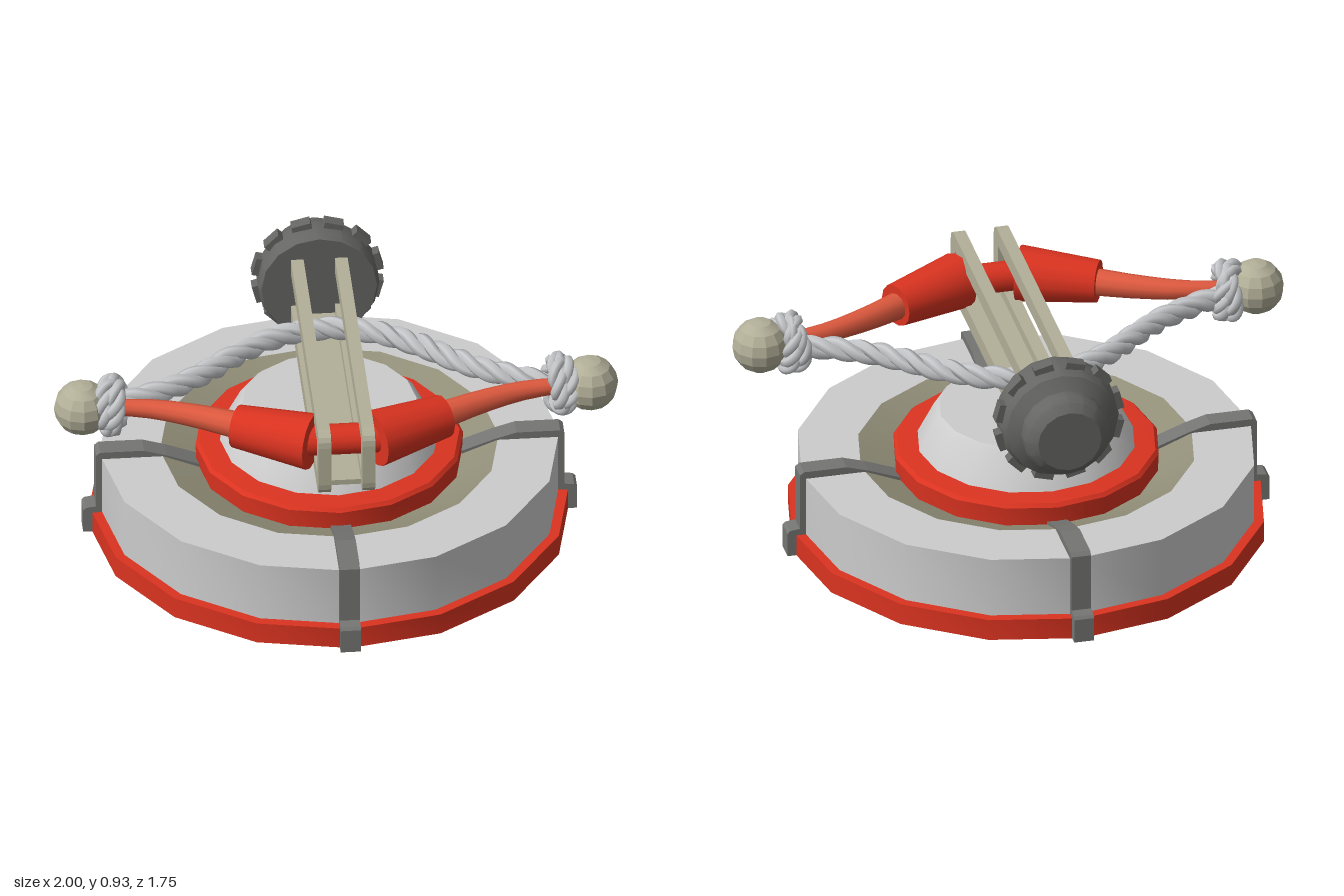
import * as THREE from 'three';
import { toCreasedNormals } from 'three/addons/utils/BufferGeometryUtils.js';

const mat = (name, color, side = THREE.DoubleSide) => {
  const m = new THREE.MeshStandardMaterial({ color, side });
  m.name = name;
  return m;
};

export function createModel() {
  const red = mat('red', 0xdb3320);
  const lightRed = mat('light red', 0xdf5a3f);
  const white = mat('light grey', 0xcccccc);
  const ropeGrey = mat('rope grey', 0xc6c7ca);
  const steel = mat('steel grey', 0x757573);
  const dark = mat('dark grey', 0x666664);
  const bone = mat('bone', 0xb2af98);
  const olive = mat('olive', 0x928f79);

  const model = new THREE.Group();
  model.name = 'slingBowTurret';
  const add = (name, geometry, material, parent = model) => {
    const mesh = new THREE.Mesh(geometry, material);
    mesh.name = name;
    parent.add(mesh);
    return mesh;
  };
  const V = (x, y, z) => new THREE.Vector3(x, y, z);
  const lathe = (pts, sides = 16) => toCreasedNormals(
    new THREE.LatheGeometry(pts.map(p => new THREE.Vector2(...p)), sides), 0.5);
  // Profile drawn in (z, y), given a width along x
  const sideExtrude = (shape, width, x = 0) => {
    const g = new THREE.ExtrudeGeometry(shape, { depth: width, bevelEnabled: false, curveSegments: 4 });
    g.translate(0, 0, -width / 2);
    g.rotateY(-Math.PI / 2);
    return g.translate(x, 0, 0);
  };

  // Hollow base
  add('baseRim', lathe([[0.81, 0], [0.85, 0], [0.85, 0.08], [0.81, 0.08], [0.81, 0]]), red);
  add('baseShell', lathe([[0.815, 0.07], [0.815, 0.305], [0.6, 0.305]]), white);
  add('recess', lathe([[0.6, 0.305], [0.44, 0.24]]), olive);
  add('turntableRing', lathe([[0.39, 0.33], [0.4, 0.235], [0.47, 0.235], [0.474, 0.322],
    [0.462, 0.335], [0.425, 0.338], [0.38, 0.34]]), red);
  add('dome', lathe([[0.39, 0.335], [0.33, 0.455], [0.31, 0.475], [0, 0.475]]), white);
  add('stalk', new THREE.CylinderGeometry(0.09, 0.09, 0.11, 16).translate(0, 0.515, 0), white);

  // Four straps over the base
  const strapShape = new THREE.Shape([[0.8, 0], [0.875, 0], [0.875, 0.09], [0.865, 0.1], [0.83, 0.105],
    [0.83, 0.32], [0.815, 0.332], [0.66, 0.332], [0.58, 0.308], [0.465, 0.265], [0.465, 0.225],
    [0.6, 0.285], [0.795, 0.285]].map(p => new THREE.Vector2(...p)));
  for (let i = 0; i < 4; i++) {
    add('strap', sideExtrude(strapShape, 0.072), steel).rotation.y = i * Math.PI / 2;
  }

  // Slotted rails with a floor between them
  const rail = new THREE.Shape();
  rail.moveTo(-0.43, 0.56);
  rail.lineTo(0.67, 0.56);
  rail.quadraticCurveTo(0.72, 0.56, 0.72, 0.61);
  rail.lineTo(0.72, 0.765);
  rail.quadraticCurveTo(0.72, 0.815, 0.67, 0.815);
  rail.lineTo(-0.43, 0.815);
  rail.closePath();
  const slot = new THREE.Path();
  slot.moveTo(-0.41, 0.62);
  slot.lineTo(-0.41, 0.755);
  slot.lineTo(0.655, 0.755);
  slot.lineTo(0.655, 0.62);
  slot.closePath();
  rail.holes.push(slot);
  for (const s of [-1, 1]) add('rail', sideExtrude(rail, 0.045, s * 0.078), bone);
  add('railFloor', new THREE.BoxGeometry(0.112, 0.02, 1.07).translate(0, 0.572, 0.115), bone);

  // Rear drum with studs around its edge
  const drum = new THREE.Group();
  drum.name = 'rearDrum';
  drum.position.set(0, 0.692, -0.405);
  drum.rotation.x = -Math.PI / 2;
  model.add(drum);
  add('drumBody', lathe([[0, 0], [0.205, 0], [0.215, 0.02], [0.215, 0.1], [0.2, 0.135],
    [0.155, 0.165], [0.155, 0.21], [0.145, 0.23], [0.115, 0.255], [0, 0.255]]), dark, drum);
  for (let i = 0; i < 12; i++) {
    const a = (i + 0.5) * Math.PI / 6;
    const stud = add('drumStud', new THREE.BoxGeometry(0.07, 0.045, 0.04), dark, drum);
    stud.position.set(Math.sin(a) * 0.213, 0.083, Math.cos(a) * 0.213);
    stud.rotation.y = a;
  }

  // Bow grip
  const cone = (a, b, ra, rb) => {
    const d = b.clone().sub(a);
    const g = new THREE.CylinderGeometry(rb, ra, d.length(), 14);
    g.applyQuaternion(new THREE.Quaternion().setFromUnitVectors(V(0, 1, 0), d.clone().normalize()));
    return g.translate(...a.clone().add(b).multiplyScalar(0.5).toArray());
  };
  const Y = 0.69;
  add('gripCentre', cone(V(-0.14, Y, 0.55), V(0.14, Y, 0.55), 0.055, 0.055), red);

  // Three strands twisted round a path; "up" stays across the path
  const rope = (name, curve, up, turns, offset, radius, steps, closed) => {
    const group = new THREE.Group();
    group.name = name;
    for (let k = 0; k < 3; k++) {
      const pts = [];
      for (let i = 0; i < steps + (closed ? 0 : 1); i++) {
        const t = i / steps, a = (t * turns + k / 3) * Math.PI * 2;
        const side = curve.getTangentAt(t).cross(up).normalize();
        pts.push(curve.getPointAt(t).addScaledVector(up, Math.cos(a) * offset)
          .addScaledVector(side, Math.sin(a) * offset));
      }
      add('strand', new THREE.TubeGeometry(new THREE.CatmullRomCurve3(pts, closed), steps * 2, radius, 6, closed),
        ropeGrey, group);
    }
    model.add(group);
  };

  for (const s of [-1, 1]) {
    add('gripSleeve', cone(V(s * 0.11, Y, 0.56), V(s * 0.368, Y, 0.437), 0.102, 0.077), red);

    // Tapered limb
    const path = new THREE.CatmullRomCurve3([V(s * 0.34, Y, 0.445), V(s * 0.5, Y, 0.363),
      V(s * 0.66, Y, 0.303), V(s * 0.87, Y, 0.272)]);
    const n = 8, sides = 10;
    const limb = new THREE.TubeGeometry(path, n, 1, sides);
    const pos = limb.attributes.position, v = V(0, 0, 0);
    for (let i = 0; i < pos.count; i++) {
      const t = Math.floor(i / (sides + 1)) / n, c = path.getPointAt(t);
      v.fromBufferAttribute(pos, i).sub(c).multiplyScalar(0.05 - 0.025 * t).add(c);
      pos.setXYZ(i, v.x, v.y, v.z);
    }
    add('limb', limb, lightRed);
    add('limbBall', toCreasedNormals(new THREE.SphereGeometry(0.1, 12, 8), 0.3)
      .translate(s * 0.9, Y, 0.273), bone);

    // Rope loops round the limb tip
    for (const tilt of [-0.3, 0.25]) {
      const axis = V(s, tilt * 0.6, -0.2 + tilt).normalize();
      const e1 = V(0, 1, 0).cross(axis).normalize(), e2 = axis.clone().cross(e1);
      const ring = [];
      for (let i = 0; i < 12; i++) {
        const a = i * Math.PI / 6;
        ring.push(V(s * 0.795, Y, 0.268).addScaledVector(e1, Math.cos(a) * 0.07)
          .addScaledVector(e2, Math.sin(a) * 0.082));
      }
      rope('ropeKnot', new THREE.CatmullRomCurve3(ring, true), axis, 3, 0.019, 0.019, 24, true);
    }
  }

  // Bowstring
  const string = [[-0.79, 0.25], [-0.68, 0.215], [-0.5, 0.12], [-0.28, -0.06], [-0.13, -0.14], [0, -0.162],
    [0.13, -0.14], [0.28, -0.06], [0.5, 0.12], [0.68, 0.215], [0.79, 0.25]];
  rope('bowString', new THREE.CatmullRomCurve3(string.map(([x, z]) => V(x, 0.682, z))),
    V(0, 1, 0), 7, 0.021, 0.023, 90, false);

  return model;
}
